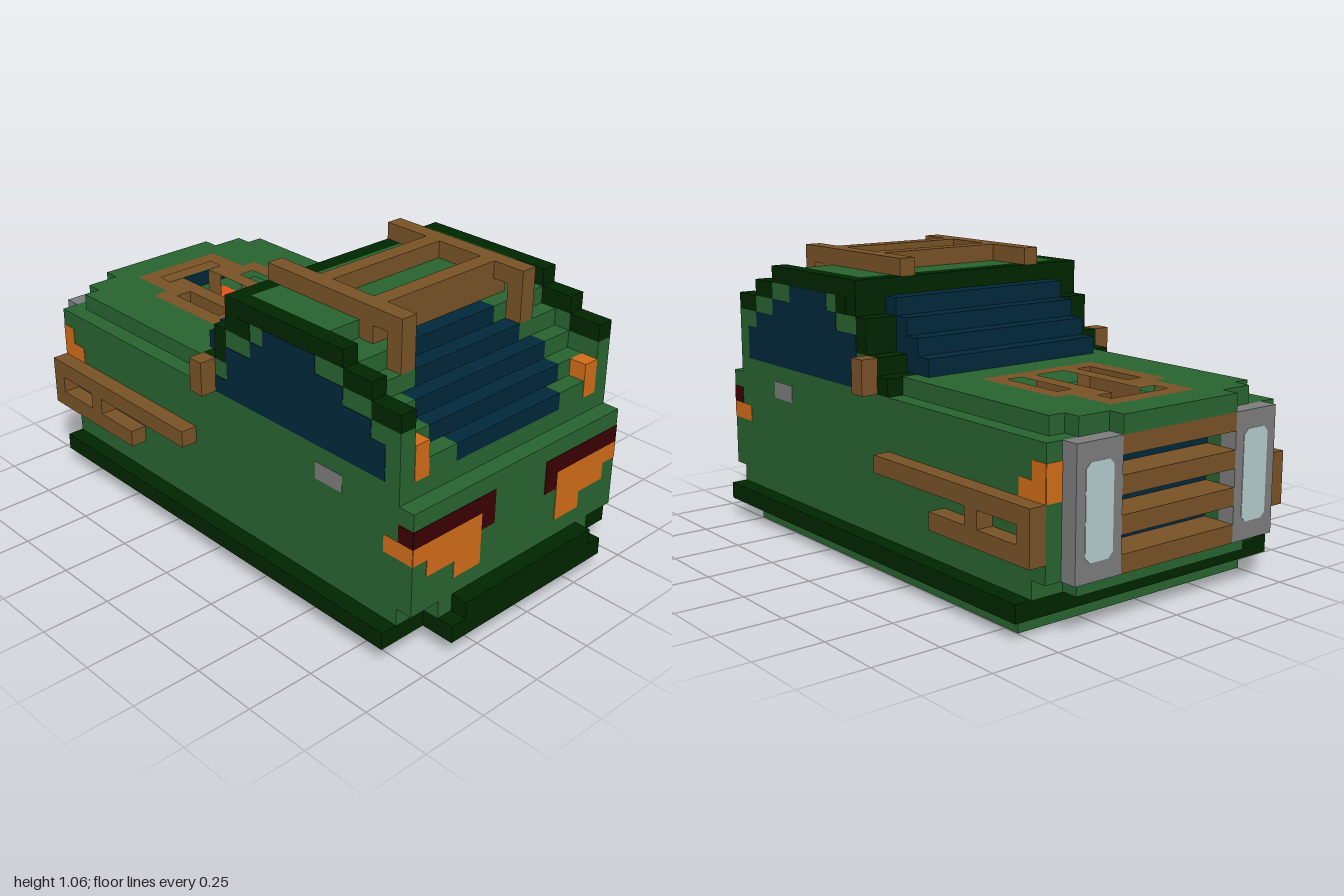
import * as THREE from 'three';

const U = 1 / 16; // one block

export function createModel() {
  const model = new THREE.Group();
  model.name = 'blockCar';

  const mat = (name, color) => {
    const m = new THREE.MeshStandardMaterial({ color });
    m.name = name;
    return m;
  };
  const green = mat('bodyGreen', 0x286330);
  const dark = mat('darkGreen', 0x002500);
  const brown = mat('woodBrown', 0x785226);
  const glass = mat('glassBlue', 0x00283a);
  const orange = mat('lampOrange', 0xd06c18);
  const red = mat('lampDarkRed', 0x3a0003);
  const grey = mat('metalGrey', 0x7c7c7c);
  const pale = mat('headlampPale', 0xb4cacc);
  const bright = mat('brightOrange', 0xe4521a);

  const add = (name, geo, m) => {
    const mesh = new THREE.Mesh(geo, m);
    mesh.name = name;
    model.add(mesh);
    return mesh;
  };
  // Box from min/max corners, measured in blocks
  const box = (name, m, x0, x1, y0, y1, z0, z1) => {
    const geo = new THREE.BoxGeometry((x1 - x0) * U, (y1 - y0) * U, (z1 - z0) * U);
    add(name, geo, m).position.set((x0 + x1) * U / 2, (y0 + y1) * U / 2, (z0 + z1) * U / 2);
  };
  const pair = (name, m, x0, x1, ...r) => {
    box(name + 'Left', m, x0, x1, ...r);
    box(name + 'Right', m, -x1, -x0, ...r);
  };
  const wide = (name, m, w, ...r) => box(name, m, -w, w, ...r);
  // Flat slabs cut from outlines in x and z
  const path = (pts, C = THREE.Shape) =>
    new C(pts.map(([x, z]) => new THREE.Vector2(x * U, -z * U)));
  const mirrorPts = half => [...half, ...half.map(([x, z]) => [-x, z]).reverse()];
  const slab = (name, m, shape, y, h) => {
    const geo = new THREE.ExtrudeGeometry(shape, { depth: h * U, bevelEnabled: false });
    geo.rotateX(-Math.PI / 2);
    add(name, geo, m).position.y = y * U;
  };
  const P = 0.03; // painted plate thickness in blocks

  // Underside: central floor block, outer rails with a groove between, two panels
  wide('grooveTop', green, 7, 0.95, 1.2, -12, 13);
  wide('floor', green, 5, 0, 1, -12, 14);
  pair('baseRail', green, 7, 8, 0, 1, -12, 12);
  wide('baseFrontEnd', green, 8, 0, 1, -13, -12);
  wide('floorPanelFront', bright, 4, -P, 0, -11, 1);
  wide('floorPanelRear', bright, 4, -P, 0, 3, 13);

  // Skirt and bumper
  wide('skirt', dark, 9, 1, 2, -14, 14);
  wide('bumperLower', dark, 6, 1, 2, 14, 16);
  wide('bumperUpper', dark, 5, 2, 3, 15, 16);

  // Body with a grille recess and an inlay well in the shoulder
  const inlayPts = mirrorPts([[3, -14], [3, -11], [4, -11], [4, -5]]);
  wide('sill', green, 8, 2, 3, -14, 14);
  wide('sillFront', green, 6, 2, 3, -15, -14);
  wide('sillRear', green, 6, 2, 3, 14, 15);
  wide('body', green, 8, 3, 9, -14, 15);
  pair('bodyNose', green, 4, 8, 3, 9, -15, -14);
  const shoulder = path(mirrorPts([[4, -14], [4, -15], [8, -15], [8, 14]]));
  shoulder.holes.push(path(mirrorPts([[3, -13.9], [3, -11], [4, -11], [4, -5]]), THREE.Path));
  slab('bodyShoulder', green, shoulder, 9, 1);

  // Hood with a deep carved inlay
  const hood = path(mirrorPts([[4, -16], [4, -15], [6, -15], [6, -14], [7, -14], [7, -2]]));
  hood.holes.push(path(inlayPts, THREE.Path));
  slab('hood', green, hood, 10, 1);
  const inlay = path(inlayPts);
  inlay.holes.push(path(mirrorPts([[2, -13], [2, -12], [1, -12], [1, -6]]), THREE.Path));
  for (const s of [-1, 1]) {
    inlay.holes.push(path([[2 * s, -10], [3 * s, -10], [3 * s, -6], [2 * s, -6]], THREE.Path));
  }
  slab('hoodInlay', brown, inlay, 9, 2);
  wide('hoodInlayFloor', bright, 3, 9, 9 + P, -13, -6);

  // Cabin rows: front and rear edges, rear glass half width, side wall rear edge
  const fronts = [-2, -1, 0, 0, 1];
  const rearGlass = [4, 5, 5, 4, 3];
  const wallEnds = [14, 14, 14, 12, 10];
  for (let i = 0; i < 5; i++) {
    const y = 10 + i, f = fronts[i], e = 14 - i, w = rearGlass[i];
    wide('frontPillarRow' + i, dark, 8, y, y + 1, f, f + 1);
    wide('cabinRow' + i, green, 7, y, y + 1, f + 1, e - 1);
    wide('rearWindowRow' + i, glass, w, y, y + 1, e - 1, e);
    pair('rearFrameRow' + i, green, w, 7, y, y + 1, e - 1, e);
    pair('sideWallRow' + i, green, 7, 8, y, y + 1, f + 1, wallEnds[i]);
    if (i < 4) wide('windshieldRow' + i, glass, 6, y + 1, y + 2, i - 3, i === 3 ? 1 : i - 1);
  }

  // Roof and dark trim
  wide('roof', green, 7, 15, 16, 2, 8);
  wide('roofFrontTrim', dark, 8, 15, 16, 1, 2);
  pair('roofSideTrim', dark, 7, 8, 15, 16, 2, 10);
  pair('rearTrimUpper', dark, 7, 8, 14, 15, 10, 12);
  pair('rearTrimLower', dark, 7, 8, 13, 14, 12, 14);
  pair('frontTrimPaint', dark, 8, 8 + P, 14, 15, 2, 3);

  // Side windows, painted row by row
  [[0, 13], [1, 13], [1, 12], [3, 10], [4, 8]].forEach(([z0, z1], i) =>
    pair('sideWindowRow' + i, glass, 8, 8 + P, 10 + i, 11 + i, z0, z1));
  pair('doorHandle', grey, 8, 8 + P, 8, 9, 8, 10);
  pair('mirror', brown, 8, 9, 10, 12, -1, 0);

  // Roof rack
  pair('rackRail', brown, 4, 5, 16, 17, 1, 11);
  pair('rackLeg', brown, 4, 5, 14, 16, 10, 11);
  wide('rackCrossbarFront', brown, 4, 16, 17, 4, 5);
  wide('rackCrossbarRear', brown, 4, 15, 17, 8, 9);
  pair('rackCrossbarEnd', brown, 4, 5, 15, 16, 8, 9);

  // Side guard rails
  pair('guardUpper', brown, 8, 9, 6, 7, -15, -2);
  pair('guardLower', brown, 8, 9, 4, 5, -15, -7);
  pair('guardPostFront', brown, 8, 9, 5, 6, -15, -14);
  pair('guardPostRear', brown, 8, 9, 5, 6, -11, -10);

  // Rear lamps, wrapping onto the sides
  pair('rearPostLamp', orange, 6, 7, 10, 12, 13, 14 + P);
  pair('tailLampTop', red, 2, 8, 7, 8, 15, 15 + P);
  pair('tailLampInner', red, 2, 3, 6, 7, 15, 15 + P);
  pair('tailLampSide', red, 8, 8 + P, 7, 8, 14, 15);
  [[8, 6], [7, 5], [5, 4]].forEach(([x, y], i) =>
    pair('tailLampRow' + i, orange, 3, x, y, y + 1, 15, 15 + P));
  pair('tailLampOrangeSide', orange, 8, 8 + P, 6, 7, 13, 15);

  // Front side markers
  pair('markerTall', orange, 8, 8 + P, 7, 9, -15, -14);
  pair('markerShort', orange, 8, 8 + P, 7, 8, -14, -13);
  pair('markerFront', orange, 7, 8, 7, 9, -15 - P, -15);

  // Grille and headlamps
  wide('grilleBack', glass, 4, 3, 10, -14 - P, -14);
  for (let y = 3; y < 10; y += 2) wide('grilleBar' + y, brown, 4, y, y + 1, -16, -14);
  pair('headlampHousing', grey, 4, 7, 3, 10, -16, -15);
  const lens = new THREE.Shape([
    [-0.9, -2.2], [-0.6, -2.5], [0.6, -2.5], [0.9, -2.2],
    [0.9, 2.2], [0.6, 2.5], [-0.6, 2.5], [-0.9, 2.2],
  ].map(([x, y]) => new THREE.Vector2(x * U, y * U)));
  const lensGeo = new THREE.ExtrudeGeometry(lens, { depth: P * U, bevelEnabled: false });
  for (const s of [-1, 1]) {
    add(s > 0 ? 'headlampLensLeft' : 'headlampLensRight', lensGeo, pale)
      .position.set(5.5 * s * U, 6.5 * U, (-16 - P) * U);
  }

  return model;
}
